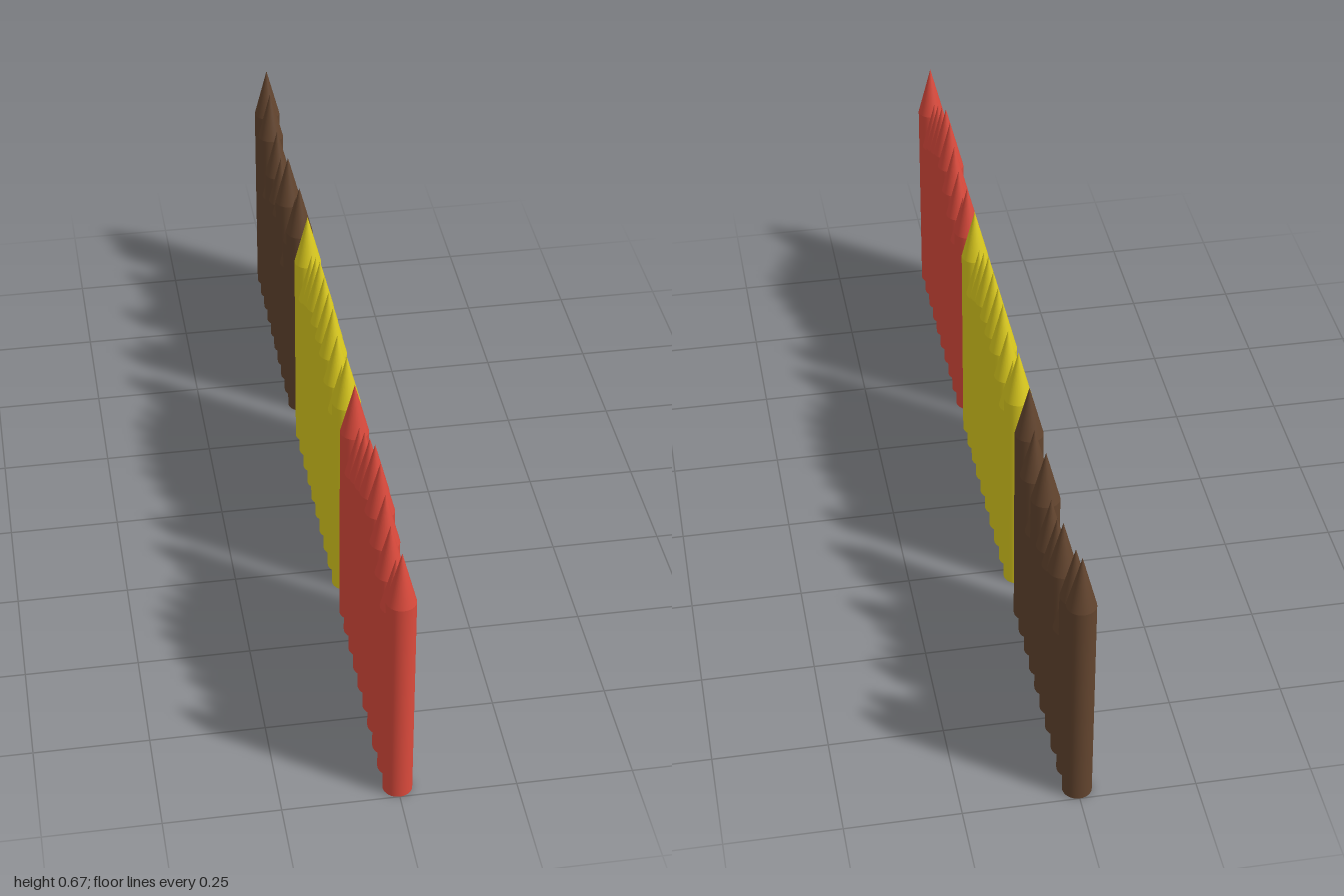
import * as THREE from 'three';

const RADIUS = 0.0315;
const SPACING = 0.063;
const TIP = 0.123;

// One pencil-shaped stake: round post with a conical point
function makeStake(height, material) {
  const stake = new THREE.Group();
  stake.name = 'stake';
  const bodyHeight = height - TIP;
  const post = new THREE.Mesh(new THREE.CylinderGeometry(RADIUS, RADIUS, bodyHeight, 32), material);
  post.name = 'post';
  post.position.y = bodyHeight / 2;
  const point = new THREE.Mesh(new THREE.ConeGeometry(RADIUS, TIP, 32, 1, true), material);
  point.name = 'point';
  point.position.y = bodyHeight + TIP / 2;
  stake.add(post, point);
  return stake;
}

// A row of touching stakes running from startZ towards -z
function makePanel(name, color, startZ, heights) {
  const panel = new THREE.Group();
  panel.name = name;
  const material = new THREE.MeshStandardMaterial({ color });
  heights.forEach((height, i) => {
    const stake = makeStake(height, material);
    stake.position.z = startZ - SPACING * (i + 0.5);
    panel.add(stake);
  });
  return panel;
}

export function createModel() {
  const model = new THREE.Group();
  model.name = 'stakeFence';
  model.add(
    makePanel('redPanel', 0xdb4a3c, 1,
      [0.635, 0.57, 0.605, 0.635, 0.666, 0.666, 0.635, 0.605, 0.57, 0.635]),
    makePanel('yellowPanel', 0xdccb1e, 0.327,
      [0.635, 0.57, 0.605, 0.635, 0.635, 0.635, 0.635, 0.605, 0.57, 0.635]),
    makePanel('brownPanel', 0x62442e, -0.37,
      [0.635, 0.57, 0.465, 0.605, 0.53, 0.53, 0.57, 0.465, 0.605, 0.635])
  );
  return model;
}
